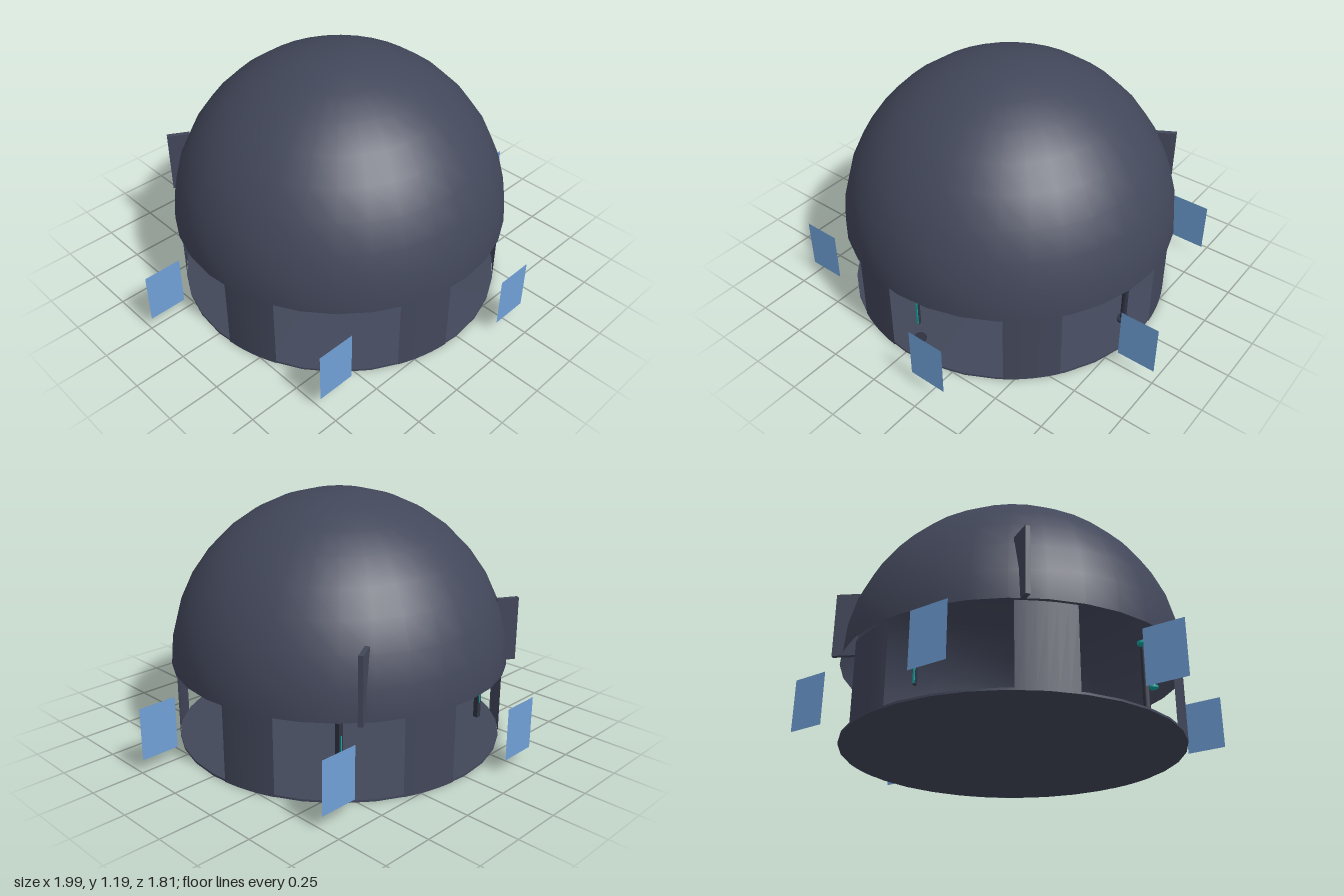
import * as THREE from 'three';

export function createModel() {
  const root = new THREE.Group();
  const mat = (name, color, side = THREE.FrontSide) => {
    const m = new THREE.MeshStandardMaterial({ color, side });
    m.name = name;
    return m;
  };
  const shell = mat('slate shell', 0x42475a, THREE.DoubleSide);
  const dark = mat('dark metal', 0x2f3342);
  const glass = mat('blue glass', 0x6fa0d6, THREE.DoubleSide);
  const teal = mat('teal light', 0x12a8a4);

  const add = (name, geo, material, x = 0, y = 0, z = 0, ry = 0) => {
    const m = new THREE.Mesh(geo, material);
    m.name = name;
    m.position.set(x, y, z);
    m.rotation.y = ry;
    root.add(m);
    return m;
  };
  const rad = THREE.MathUtils.degToRad;
  const rimY = 0.38;

  // Dome roof and round floor
  add('dome', new THREE.SphereGeometry(0.81, 32, 9, 0, Math.PI * 2, 0, Math.PI / 2), shell, 0, rimY, 0);
  add('floor', new THREE.CylinderGeometry(0.79, 0.79, 0.01, 32), shell, 0, 0.005, 0);

  // Six curved wall panels, with a pane floating outside each opening
  for (let i = 0; i < 6; i++) {
    const a = rad(45 + i * 60), w = rad(19);
    add('wallPanel', new THREE.CylinderGeometry(0.79, 0.79, rimY, 6, 1, true, a - w / 2, w), shell, 0, rimY / 2, 0);
    const p = rad(15 + i * 60);
    add('windowPane', new THREE.PlaneGeometry(0.187, 0.25), glass,
      0.935 * Math.sin(p), 0.19, 0.935 * Math.cos(p));
  }

  // Two upright fins on the rear of the dome
  for (const s of [-1, 1]) {
    add('fin', new THREE.BoxGeometry(0.11, 0.31, 0.022), shell, s * 0.488, 0.535, -0.63, s * rad(30));
  }

  // Ring of ceiling lamps
  for (let i = 0; i < 8; i++) {
    const a = i * Math.PI / 4;
    add('ceilingLamp', new THREE.CylinderGeometry(0.026, 0.026, 0.012, 16), teal,
      0.69 * Math.sin(a), 0.371, 0.69 * Math.cos(a));
  }

  // Side posts with round feet
  for (const s of [-1, 1]) {
    add('sidePost', new THREE.CylinderGeometry(0.015, 0.015, 0.32, 12), dark, s * 0.69, 0.19, 0);
    add('postFoot', new THREE.CylinderGeometry(0.03, 0.03, 0.012, 16), dark, s * 0.69, 0.02, 0);
  }

  // Slim light bars at the front and rear
  for (const s of [-1, 1]) {
    add('lightBar', new THREE.BoxGeometry(0.012, 0.16, 0.014), dark, 0, 0.19, s * 0.69);
    add('lightStrip', new THREE.BoxGeometry(0.009, 0.15, 0.004), teal, 0, 0.19, s * 0.699);
    add('lightFoot', new THREE.CylinderGeometry(0.03, 0.03, 0.01, 16), dark, 0, 0.016, s * 0.69);
  }

  // Diagonal posts with glowing strips
  for (const [x, z] of [[-0.49, -0.49], [0.49, -0.49]]) {
    add('diagonalPost', new THREE.BoxGeometry(0.025, 0.33, 0.025), dark, x, 0.195, z);
    add('diagonalStrip', new THREE.BoxGeometry(0.008, 0.16, 0.03), teal, x, 0.19, z);
  }

  // Small floor markers
  for (const [x, z] of [[0, 0], [0.05, 0.05], [-0.05, -0.05], [0.22, 0.21]]) {
    add('floorMarker', new THREE.ConeGeometry(0.008, 0.03, 6), teal, x, 0.035, z);
  }
  return root;
}
